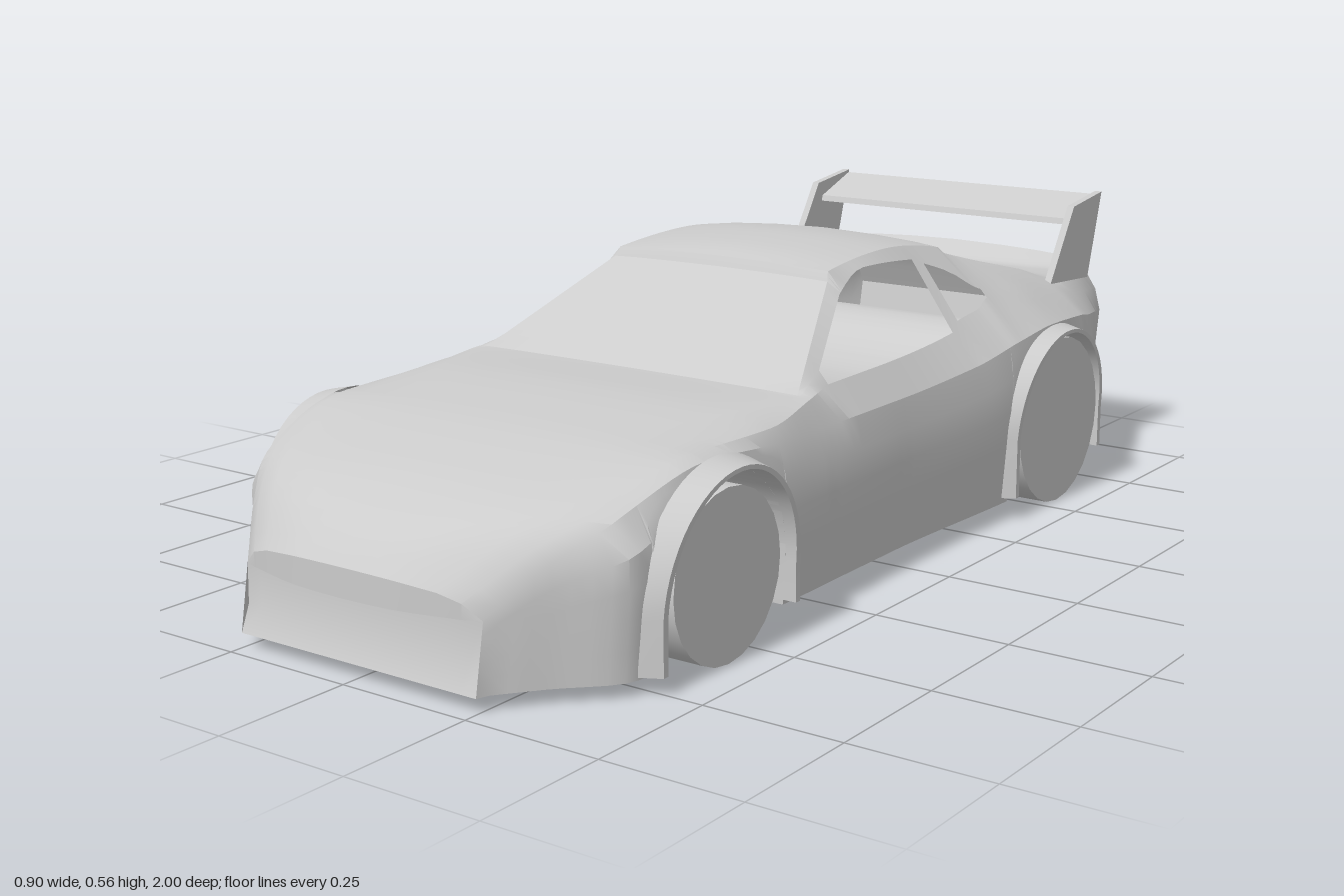
import * as THREE from 'three';
import { toCreasedNormals } from 'three/addons/utils/BufferGeometryUtils.js';

const mat = new THREE.MeshStandardMaterial({ color: 0xcccccc, side: THREE.DoubleSide });

// Wheel arches: centre z, half length, spring line and rise; wheel radius and centre
const arches = [
  { name: 'front', c: 0.572, a: 0.175, y0: 0.12, h: 0.195, foot: [0.03, 0.05], r: 0.145, wz: 0.585 },
  { name: 'rear', c: -0.555, a: 0.17, y0: 0.16, h: 0.18, foot: [0.045, 0.075], r: 0.165, wz: -0.553 },
];

// Body lines running from tail (-1) to nose (1): [station, x, y]
const waist = [[-1, 0.3, 0], [-0.9, 0.34, 0], [-0.8, 0.385, 0], [-0.73, 0.41, 0], [-0.55, 0.42, 0], [-0.4, 0.42, 0],
  [0, 0.41, 0], [0.4, 0.418, 0], [0.6, 0.415, 0], [0.775, 0.41, 0], [0.9, 0.32, 0], [1, 0.25, 0]];
const shoulder = [[-1, 0.3, 0.3], [-0.9, 0.335, 0.315], [-0.8, 0.37, 0.33], [-0.7, 0.4, 0.348], [-0.55, 0.415, 0.357],
  [-0.42, 0.41, 0.343], [-0.27, 0.4, 0.32], [0, 0.395, 0.31], [0.26, 0.395, 0.31], [0.4, 0.4, 0.315],
  [0.6, 0.397, 0.328], [0.8, 0.367, 0.27], [0.9, 0.315, 0.22], [1, 0.25, 0.14]];
const belt = [[-1, 0.3, 0.35], [-0.9, 0.315, 0.36], [-0.8, 0.33, 0.375], [-0.7, 0.355, 0.385], [-0.55, 0.37, 0.395],
  [-0.42, 0.335, 0.42], [-0.38, 0.338, 0.405], [-0.3, 0.338, 0.395], [-0.27, 0.345, 0.378], [0, 0.352, 0.366],
  [0.175, 0.352, 0.364], [0.26, 0.37, 0.356], [0.4, 0.385, 0.338], [0.6, 0.372, 0.338], [0.8, 0.34, 0.283],
  [0.9, 0.29, 0.24], [1, 0.22, 0.165]];
const windowTop = [[-1, 0.285, 0.395], [-0.9, 0.295, 0.39], [-0.8, 0.305, 0.395], [-0.7, 0.32, 0.405],
  [-0.55, 0.333, 0.425], [-0.42, 0.32, 0.436], [-0.36, 0.282, 0.475], [-0.3, 0.262, 0.497], [-0.27, 0.253, 0.508],
  [-0.1, 0.25, 0.517], [0.005, 0.266, 0.485], [0.175, 0.333, 0.386], [0.26, 0.352, 0.36], [0.4, 0.36, 0.35],
  [0.6, 0.33, 0.34], [0.8, 0.3, 0.293], [0.9, 0.25, 0.255], [1, 0.18, 0.177]];
const glassEdge = [[-1, 0.25, 0.425], [-0.9, 0.26, 0.405], [-0.8, 0.27, 0.403], [-0.68, 0.27, 0.432],
  [-0.415, 0.238, 0.5], [-0.4, 0.235, 0.512], [-0.2, 0.23, 0.535], [-0.005, 0.235, 0.522], [0.005, 0.24, 0.505],
  [0.26, 0.345, 0.36], [0.4, 0.32, 0.358], [0.6, 0.25, 0.344], [0.8, 0.22, 0.3], [0.9, 0.19, 0.264], [1, 0.13, 0.184]];
const centre = [[-1, 0, 0.44], [-0.9, 0, 0.405], [-0.8, 0, 0.41], [-0.7, 0, 0.435], [-0.6, 0, 0.462], [-0.5, 0, 0.493],
  [-0.415, 0, 0.513], [-0.4, 0, 0.525], [-0.3, 0, 0.543], [-0.2, 0, 0.55], [-0.1, 0, 0.545], [-0.005, 0, 0.527],
  [0.005, 0, 0.509], [0.26, 0, 0.362], [0.4, 0, 0.366], [0.6, 0, 0.35], [0.8, 0, 0.307], [0.9, 0, 0.268],
  [0.97, 0, 0.225], [1, 0, 0.19]];

// Monotone cubic through the keys; straight along the windscreen
function at(keys, s) {
  let i = 0;
  while (i < keys.length - 2 && s > keys[i + 1][0]) i++;
  const p = keys[i], q = keys[i + 1], w = q[0] - p[0], t = (s - p[0]) / w;
  const slope = (j, k) => (keys[j + 1][k] - keys[j][k]) / (keys[j + 1][0] - keys[j][0]);
  const tangent = (j, k) => {
    if (j === 0) return slope(0, k);
    if (j === keys.length - 1) return slope(j - 1, k);
    const a = slope(j - 1, k), b = slope(j, k);
    return a * b <= 0 ? 0 : (2 * a * b) / (a + b);
  };
  return [1, 2].map((k) => {
    if (s > 0 && s < 0.26) return p[k] + (q[k] - p[k]) * t;
    const t2 = t * t, t3 = t2 * t;
    return p[k] * (2 * t3 - 3 * t2 + 1) + q[k] * (3 * t2 - 2 * t3)
      + w * (tangent(i, k) * (t3 - 2 * t2 + t) + tangent(i + 1, k) * (t3 - t2));
  });
}

// Lower edge of the body, rising over the wheels
function sillHeight(s) {
  for (const { c, a, y0, h } of arches) {
    const u = (s - c) / a;
    if (Math.abs(u) <= 1.0001) return y0 + h * Math.sqrt(Math.max(0, 1 - u * u));
  }
  if (s > 0.5) return 0.025;
  return s > -0.5 ? 0.037 + s * 0.01 : 0.07 + (-0.72 - s) * 0.07;
}

const lerp = THREE.MathUtils.lerp;
const SIDE = 5; // rows below the shoulder

// Half section from sill to centre line, mirrored into a ring
function section(s) {
  const yb = sillHeight(s), W = at(waist, s)[0], S = at(shoulder, s);
  const E = at(glassEdge, s), C = at(centre, s), half = [];
  for (let i = 0; i < SIDE; i++) {
    const f = i / SIDE, y = lerp(yb, S[1], f);
    const x = y > 0.2 ? lerp(W, S[0], ((y - 0.2) / (S[1] - 0.2)) ** 2) : W - 0.06 * (0.2 - y) * (s < 1 ? 1 : 0);
    half.push([x, y, lerp(0.975, 0.955, f), lerp(-0.96, -1, f)]);
  }
  half.push([...S, 0.955, -1], [...at(belt, s), 0.968, -0.975], [...at(windowTop, s), 0.978, -0.95], [...E, 0.99, -0.92]);
  for (const [fx, fy] of [[0.78, 0.45], [0.45, 0.8]]) {
    half.push([E[0] * fx, lerp(E[1], C[1], fy), lerp(0.99, 1, fy), lerp(-0.92, -0.895, fy)]);
  }
  half.push([...C, 1, -0.895]);
  const pts = half.map(([x, y, nose, tail]) => {
    let z = s;
    if (s > 0.775) z = lerp(0.775, nose, (s - 0.775) / 0.225);
    if (s < -0.8) z = lerp(-0.8, tail, (-0.8 - s) / 0.2);
    return [x, y, z];
  });
  return [...pts, ...pts.slice(0, -1).reverse().map(([x, y, z]) => [-x, y, z])];
}

function quadMesh(name, quads) {
  const pos = [];
  for (const [a, b, c, d] of quads) pos.push(...a, ...b, ...c, ...a, ...c, ...d);
  const g = new THREE.BufferGeometry();
  g.setAttribute('position', new THREE.Float32BufferAttribute(pos, 3));
  const m = new THREE.Mesh(toCreasedNormals(g, 0.42), mat);
  m.name = name;
  return m;
}

function bodyShell() {
  const set = new Set([-0.42, -0.415, -0.4, -0.3, -0.27, -0.005, 0.005, 0.175, 0.26, 0.775]);
  for (let i = -40; i <= 40; i++) set.add(i / 40);
  for (const { c, a } of arches) {
    for (let i = 0; i <= 20; i++) set.add(+(c + a * Math.cos((i / 20) * Math.PI)).toFixed(4));
    set.add(+(c + a + 0.001).toFixed(4)).add(+(c - a - 0.001).toFixed(4));
  }
  const st = [...set].sort((p, q) => p - q), rings = st.map(section), n = rings[0].length, quads = [];
  const sideGlass = (s) => (s > -0.27 && s < 0.175) || (s > -0.42 && s < -0.3);
  for (let i = 0; i < st.length - 1; i++) {
    const open = sideGlass((st[i] + st[i + 1]) / 2);
    for (let j = 0; j < n; j++) {
      if (open && (j === SIDE + 1 || j === n - SIDE - 3)) continue; // window openings
      const k = (j + 1) % n;
      quads.push([rings[i][j], rings[i][k], rings[i + 1][k], rings[i + 1][j]]);
    }
  }
  // Tail panel
  const tail = rings[0];
  for (let j = 0; j < (n - 1) / 2; j++) quads.push([tail[j], tail[n - 1 - j], tail[n - 2 - j], tail[j + 1]]);
  // Nose lip and recessed air intake
  const lip = rings[rings.length - 1].slice(SIDE, n - SIDE);
  const rows = [lip, lip.map(([x, , z]) => [x, 0.14, z]), lip.map(([x]) => [x, 0.138, 0.955]),
    lip.map(([x]) => [x, 0.07, 0.957]), lip.map(([x]) => [x, 0.025, 0.975])];
  for (let r = 0; r < rows.length - 1; r++) {
    for (let j = 0; j < lip.length - 1; j++) quads.push([rows[r][j], rows[r][j + 1], rows[r + 1][j + 1], rows[r + 1][j]]);
  }
  return quadMesh('bodyShell', quads);
}

// Raised lip swept around a wheel arch
function archFlare({ name, c, a, y0, h, foot }, side) {
  const N = 28, rows = [];
  for (let i = -1; i <= N + 1; i++) {
    const t = (THREE.MathUtils.clamp(i, 0, N) / N) * Math.PI;
    const out = 0.435 + 0.014 * Math.sin(t);
    rows.push([[0, 0.39], [0, out], [0.012, out], [0.03, 0.4]].map(([d, x]) => {
      const y = i < 0 ? foot[0] : i > N ? foot[1] : y0 + (h + d * 0.6) * Math.sin(t);
      return [x * side, y, c + (a + d) * Math.cos(t)];
    }));
  }
  const quads = [];
  for (let i = 0; i < rows.length - 1; i++) {
    for (let j = 0; j < 3; j++) {
      const q = [rows[i][j], rows[i][j + 1], rows[i + 1][j + 1], rows[i + 1][j]];
      quads.push(side > 0 ? q.reverse() : q);
    }
  }
  return quadMesh(name + 'ArchFlare', quads);
}

// Plate cut in the side plane: points are [z, y]
function sidePlate(name, pts, x, thickness) {
  const g = new THREE.ExtrudeGeometry(new THREE.Shape(pts.map(([z, y]) => new THREE.Vector2(-z, y))),
    { depth: thickness, bevelEnabled: false });
  g.translate(0, 0, -thickness / 2).rotateY(Math.PI / 2);
  const m = new THREE.Mesh(g, mat);
  m.position.x = x;
  m.name = name;
  return m;
}

export function createModel() {
  const car = new THREE.Group();
  car.name = 'sportsCar';
  car.add(bodyShell());
  for (const side of [1, -1]) {
    for (const arch of arches) {
      car.add(archFlare(arch, side));
      const wheel = new THREE.Mesh(new THREE.CylinderGeometry(arch.r, arch.r, 0.18, 24).rotateZ(Math.PI / 2), mat);
      wheel.position.set(side * 0.342, arch.r, arch.wz);
      wheel.name = arch.name + 'Wheel';
      car.add(wheel);
    }
    car.add(sidePlate('wingPost', [[-0.72, 0.4], [-0.89, 0.39], [-0.943, 0.565], [-0.815, 0.548]], side * 0.313, 0.015));
  }
  car.add(sidePlate('wingBlade', [[-0.828, 0.507], [-0.832, 0.519], [-0.94, 0.559], [-0.943, 0.55]], 0, 0.62));
  return car;
}
